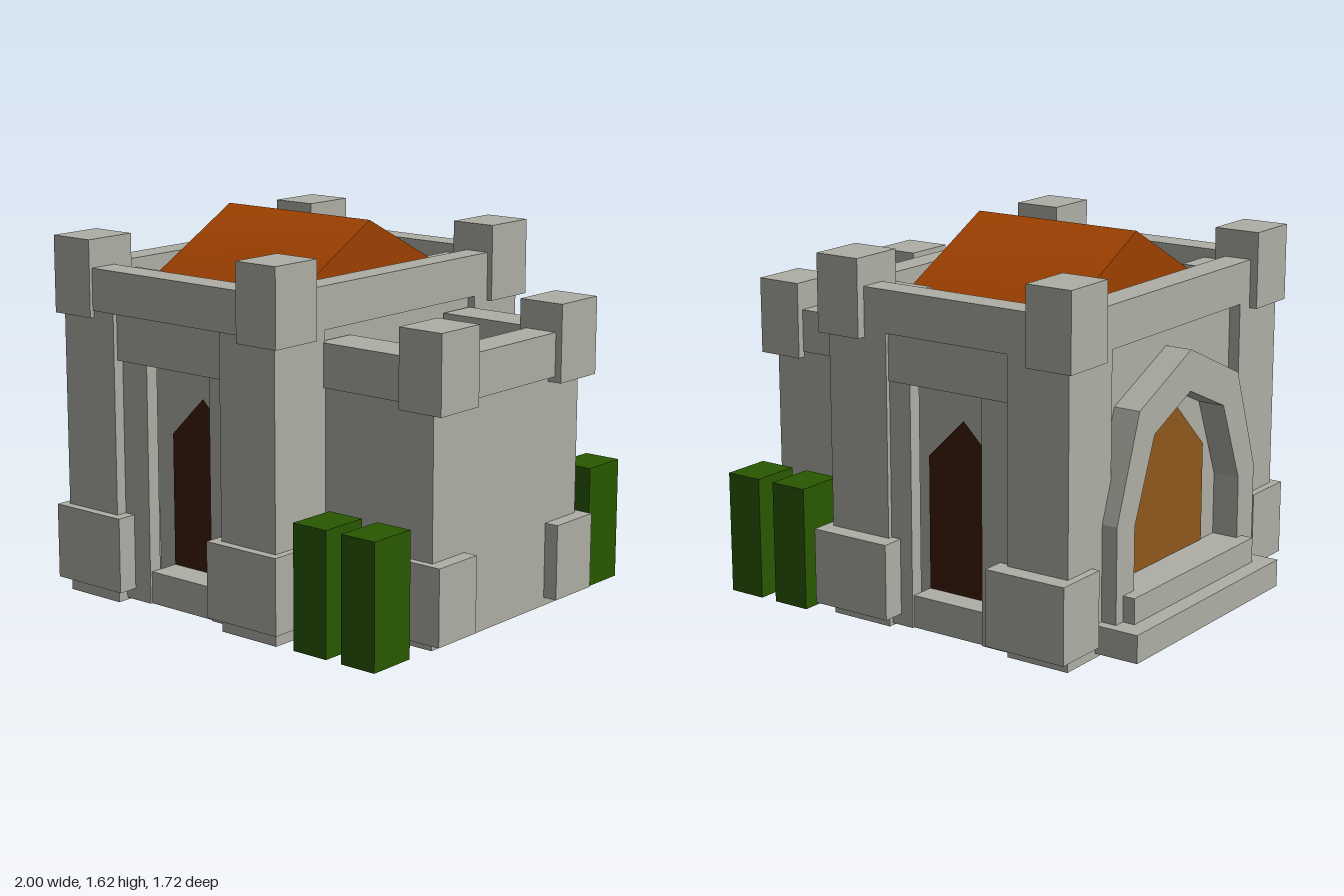
import * as THREE from 'three';

const mat = (name, color, side = THREE.FrontSide) => {
  const m = new THREE.MeshStandardMaterial({ color, side });
  m.name = name;
  return m;
};

export function createModel() {
  const model = new THREE.Group();
  model.name = 'fort';
  const stone = mat('stone grey', 0xaeaea6, THREE.DoubleSide);
  const roofing = mat('roof orange', 0x9d4000, THREE.DoubleSide);
  const wood = mat('dark door brown', 0x3b1c02, THREE.DoubleSide);
  const porchWood = mat('porch door brown', 0x8f581c, THREE.DoubleSide);
  const leaf = mat('hedge green', 0x285800, THREE.DoubleSide);

  const add = (name, geo, material) => {
    const mesh = new THREE.Mesh(geo, material);
    mesh.name = name;
    model.add(mesh);
    return mesh;
  };
  // box from its limits; open = no underside
  const box = (name, [x0, x1], [y0, y1], [z0, z1], material = stone, open = false) => {
    const geo = new THREE.BoxGeometry(x1 - x0, y1 - y0, z1 - z0);
    geo.translate((x0 + x1) / 2, (y0 + y1) / 2, (z0 + z1) / 2);
    if (open) {
      const idx = Array.from(geo.index.array);
      idx.splice(18, 6);
      geo.setIndex(idx);
    }
    return add(name, geo, material);
  };
  const outline = (pts) => new THREE.Shape(pts.map(([x, y]) => new THREE.Vector2(x, y)));

  // corner pillars with foot blocks and battlement posts
  const xPillar = [[-0.8, -0.51], [0.09, 0.385]];
  const xFoot = [[-0.835, -0.46], [0.045, 0.42]];
  const xPost = [[-0.835, -0.625], [0.2, 0.41]];
  const zPillar = [[-0.78, -0.48], [0.51, 0.815]];
  const zFoot = [[-0.86, -0.61], [0.61, 0.855]];
  const zPost = [[-0.82, -0.57], [0.59, 0.835]];
  for (const i of [0, 1]) {
    for (const j of [0, 1]) {
      box('cornerPillar', xPillar[i], [0, 1.39], zPillar[j]);
      box('pillarFoot', xFoot[i], [0.06, 0.385], zFoot[j]);
      box('towerPost', xPost[i], [1.22, 1.55], zPost[j]);
    }
  }

  // tower parapet
  box('parapetFront', [-0.8, 0.385], [1.25, 1.43], [0.69, 0.82]);
  box('parapetBack', [-0.8, 0.385], [1.25, 1.43], [-0.78, -0.66]);
  box('parapetRight', [-0.8, -0.675], [1.25, 1.43], [-0.66, 0.69]);
  box('parapetLeft', [0.27, 0.385], [1.25, 1.43], [-0.66, 0.69]);

  // tower deck and side walls
  box('towerDeck', [-0.72, 0.32], [1.23, 1.3], [-0.7, 0.74]);
  box('sideWallRight', [-0.75, -0.69], [0.02, 1.25], [-0.5, 0.53]);
  box('sideWallLeft', [0.29, 0.35], [0.02, 1.25], [-0.5, 0.53]);

  // roof slopes, shaded softly over the ridge, with a gable at each end
  const [roofX0, roofX1, ridgeZ] = [-0.59, 0.205, 0.015];
  const slopes = new THREE.PlaneGeometry(roofX1 - roofX0, 1.09, 1, 2);
  slopes.rotateX(-Math.PI / 2).translate((roofX0 + roofX1) / 2, 1.33, -0.005);
  for (const i of [2, 3]) {
    slopes.attributes.position.setY(i, 1.62);
    slopes.attributes.position.setZ(i, ridgeZ);
  }
  slopes.computeVertexNormals();
  add('roofSlopes', slopes, roofing);
  for (const [x, s] of [[roofX0, -1], [roofX1, 1]]) {
    const gable = new THREE.ShapeGeometry(
      outline([[-s * 0.54, 1.33], [s * 0.55, 1.33], [-s * ridgeZ, 1.62]]));
    gable.rotateY(s * Math.PI / 2).translate(x, 0, 0);
    // rotation sends the shape's x to -z or +z, so the outline is mirrored by s
    add('roofGable', gable, roofing);
  }

  // doorways: lintel, jamb and wall planes given by distance along the facing s
  const doorways = [
    { s: 1, lintel: 0.795, jamb: 0.765, wall: 0.61 },
    { s: -1, lintel: 0.765, jamb: 0.76, wall: 0.635 },
  ];
  for (const { s, lintel, jamb, wall } of doorways) {
    const span = (face, depth) => (s > 0 ? [face - depth, face] : [-face, depth - face]);
    box('doorLintel', [-0.51, 0.09], [1.05, 1.25], span(lintel, 0.13));
    box('doorJamb', [-0.51, -0.37], [0.01, 1.05], span(jamb, 0.06));
    box('doorJamb', [-0.015, 0.09], [0.01, 1.05], span(jamb, 0.06));
    box('doorWall', [-0.51, 0.09], [0.01, 1.25], span(wall, 0.06));
    box('doorStep', [-0.37, -0.015], [0.01, 0.15], span(jamb - 0.01, jamb - wall));
    const door = new THREE.ShapeGeometry(
      outline([[-0.37, 0.15], [-0.015, 0.15], [-0.015, 0.725], [-0.193, 0.9], [-0.37, 0.725]]));
    // turn the back door to face outwards
    if (s < 0) door.translate(0.193, 0, 0).rotateY(Math.PI).translate(-0.193, 0, 0);
    door.translate(0, 0, s * (wall + 0.005));
    add('pointedDoor', door, wood);
  }

  // side porch: faceted arch, door and two steps
  const arch = outline([[-0.54, 0.14], [-0.54, 0.55], [-0.385, 0.99], [0, 1.165],
    [0.385, 0.99], [0.54, 0.55], [0.54, 0.14], [0.41, 0.14], [0.41, 0.52],
    [0.27, 0.87], [0, 0.99], [-0.27, 0.87], [-0.41, 0.52], [-0.41, 0.14]]);
  const archGeo = new THREE.ExtrudeGeometry(arch, { depth: 0.13, bevelEnabled: false });
  archGeo.rotateY(-Math.PI / 2).translate(-0.74, 0, 0);
  add('porchArch', archGeo, stone);
  const sideDoor = new THREE.ShapeGeometry(
    outline([[-0.3, 0.2], [0.3, 0.2], [0.3, 0.68], [0, 0.97], [-0.3, 0.68]]));
  sideDoor.rotateY(-Math.PI / 2).translate(-0.756, 0, 0);
  add('porchDoor', sideDoor, porchWood);
  box('porchLowerStep', [-1, -0.7], [0.02, 0.14], [-0.585, 0.54]);
  box('porchUpperStep', [-0.925, -0.69], [0.01, 0.25], [-0.49, 0.45]);

  // side annex with its own parapet, posts and foot blocks
  box('annexBody', [-0.41, 0.937], [0.025, 1.1], [-0.47, 0.51], stone, true);
  box('annexParapetFront', [0.36, 0.97], [1.015, 1.2], [0.325, 0.52]);
  box('annexParapetBack', [0.36, 0.97], [1.015, 1.2], [-0.475, -0.295]);
  box('annexParapetSide', [0.82, 0.97], [1.015, 1.2], [-0.295, 0.325]);
  for (const z of [[-0.505, -0.255], [0.303, 0.545]]) {
    box('annexPost', [0.79, 1], [0.99, 1.32], z);
    box('annexFoot', [0.79, 1], [0.06, 0.385], z);
  }

  // clipped hedges
  for (const x of [[0.49, 0.66], [0.737, 0.905]]) {
    for (const z of [[-0.845, -0.628], [0.608, 0.828]]) {
      box('hedge', x, [0.01, 0.54], z, leaf, true);
    }
  }
  return model;
}
